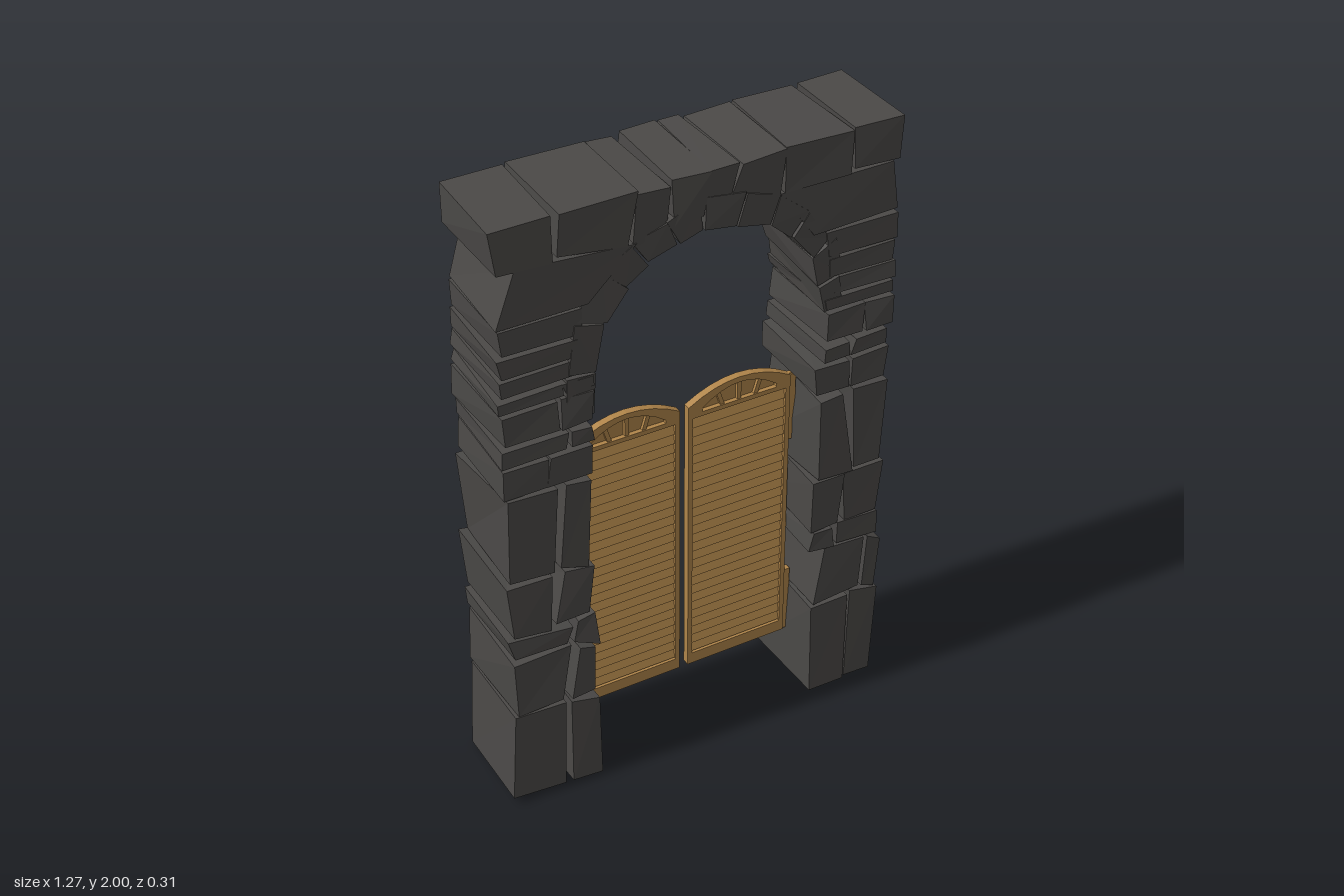
import * as THREE from 'three';

const stoneMat = new THREE.MeshStandardMaterial({ color: 0x4b4947, flatShading: true });
const woodMat = new THREE.MeshStandardMaterial({ color: 0xb0854a });
woodMat.flatShading = true;

// Small seeded generator for the chiselled irregularity of the stones
let seed = 7;
const rand = () => ((seed = (seed * 16807) % 2147483647) / 2147483647) * 2 - 1;

// Four-cornered block (corners: bottom left, bottom right, top right, top left) running through the wall
function stone(parent, name, q) {
  const geo = new THREE.BoxGeometry(2, 2, 2).toNonIndexed();
  const low = q[1] < 1.1 ? 0.009 : 0.003;
  const corners = [];
  for (let i = 0; i < 8; i++) {
    const c = i % 4;
    corners.push([
      THREE.MathUtils.clamp(q[c * 2] + rand() * 0.01, -0.635, 0.635),
      THREE.MathUtils.clamp(q[c * 2 + 1] + rand() * low, 0, 2),
      (i < 4 ? 1 : -1) * (0.152 + rand() * 0.005)
    ]);
  }
  const p = geo.attributes.position;
  for (let i = 0; i < p.count; i++) {
    const right = p.getX(i) > 0, up = p.getY(i) > 0;
    const c = up ? (right ? 2 : 3) : (right ? 1 : 0);
    p.setXYZ(i, ...corners[c + (p.getZ(i) > 0 ? 0 : 4)]);
  }
  geo.computeVertexNormals();
  const m = new THREE.Mesh(geo, stoneMat);
  m.name = name;
  parent.add(m);
}

function block(parent, name, w, h, d, x, y, z) {
  const m = new THREE.Mesh(new THREE.BoxGeometry(w, h, d), woodMat);
  m.name = name;
  m.position.set(x, y, z);
  parent.add(m);
  return m;
}

// Irregular lower blocks of each pier
const rightPierLow = [
  [-0.635, 0.02, -0.455, 0.01, -0.45, 0.33, -0.62, 0.34],
  [-0.445, 0.01, -0.34, 0.0, -0.34, 0.31, -0.43, 0.33],
  [-0.615, 0.35, -0.46, 0.35, -0.43, 0.55, -0.61, 0.54],
  [-0.44, 0.34, -0.35, 0.34, -0.35, 0.51, -0.41, 0.53],
  [-0.62, 0.56, -0.45, 0.55, -0.41, 0.61, -0.62, 0.63],
  [-0.42, 0.54, -0.345, 0.52, -0.35, 0.63, -0.4, 0.63],
  [-0.62, 0.64, -0.5, 0.62, -0.48, 0.82, -0.625, 0.83],
  [-0.48, 0.64, -0.36, 0.64, -0.35, 0.81, -0.45, 0.82],
  [-0.61, 0.84, -0.47, 0.83, -0.45, 1.12, -0.62, 1.125],
  [-0.455, 0.83, -0.36, 0.82, -0.35, 1.12, -0.43, 1.125]
];
const leftPierLow = [
  [0.4, 0.01, 0.53, 0.01, 0.52, 0.34, 0.4, 0.34],
  [0.535, 0.02, 0.625, 0.01, 0.63, 0.33, 0.53, 0.35],
  [0.4, 0.35, 0.565, 0.36, 0.57, 0.55, 0.43, 0.56],
  [0.575, 0.36, 0.63, 0.34, 0.63, 0.53, 0.58, 0.55],
  [0.385, 0.57, 0.47, 0.56, 0.46, 0.63, 0.39, 0.63],
  [0.475, 0.57, 0.63, 0.55, 0.62, 0.63, 0.47, 0.64],
  [0.39, 0.64, 0.485, 0.65, 0.49, 0.82, 0.39, 0.82],
  [0.5, 0.65, 0.62, 0.64, 0.63, 0.82, 0.495, 0.82],
  [0.395, 0.83, 0.515, 0.83, 0.48, 1.125, 0.41, 1.12],
  [0.525, 0.84, 0.615, 0.84, 0.625, 1.12, 0.5, 1.125]
];
// Flat upper courses: bottom, top, then x limits from the wall's right side to its left
const rightCourses = [
  [1.14, 1.235, -0.615, -0.49, -0.35], [1.25, 1.3, -0.62, -0.42, -0.345], [1.32, 1.415, -0.62, -0.45, -0.345],
  [1.43, 1.465, -0.62, -0.43, -0.34], [1.48, 1.53, -0.615, -0.36], [1.54, 1.6, -0.62, -0.39],
  [1.61, 1.69, -0.615, -0.37]
];
const leftCourses = [
  [1.14, 1.235, 0.385, 0.5, 0.625], [1.25, 1.3, 0.405, 0.5, 0.62], [1.32, 1.415, 0.41, 0.535, 0.63],
  [1.43, 1.465, 0.4, 0.63], [1.48, 1.53, 0.43, 0.63], [1.54, 1.6, 0.42, 0.62], [1.61, 1.69, 0.4, 0.63]
];
// Shoulders above the piers and the flat top course
const shoulders = [
  [-0.615, 1.7, -0.36, 1.7, -0.21, 1.84, -0.56, 1.87],
  [0.36, 1.7, 0.63, 1.7, 0.61, 1.855, 0.24, 1.86]
];
const topCourse = [
  [-0.62, 1.87, -0.445, 1.86, -0.45, 2, -0.625, 2],
  [-0.435, 1.87, -0.22, 1.84, -0.2, 2, -0.43, 2],
  [-0.205, 1.83, -0.11, 1.84, -0.1, 1.985, -0.19, 1.99],
  [-0.095, 1.86, 0.005, 1.86, 0.02, 2, -0.09, 2],
  [0.015, 1.88, 0.08, 1.87, 0.105, 2, 0.03, 2],
  [0.09, 1.88, 0.24, 1.85, 0.26, 2, 0.115, 1.99],
  [0.25, 1.86, 0.46, 1.86, 0.47, 1.99, 0.265, 2],
  [0.475, 1.87, 0.63, 1.86, 0.635, 2, 0.475, 2]
];
// Arch joints: inner x, y, outer x, y
const archJoints = [
  [-0.345, 1.33, -0.42, 1.35], [-0.33, 1.47, -0.42, 1.48], [-0.3, 1.62, -0.4, 1.65], [-0.235, 1.715, -0.31, 1.78],
  [-0.16, 1.77, -0.22, 1.84], [-0.07, 1.8, -0.11, 1.88], [0.01, 1.82, 0.0, 1.92], [0.11, 1.805, 0.13, 1.9],
  [0.21, 1.77, 0.24, 1.86], [0.295, 1.71, 0.34, 1.78], [0.35, 1.62, 0.42, 1.67], [0.385, 1.52, 0.45, 1.54],
  [0.41, 1.42, 0.46, 1.44]
];

function buildCourses(parent, name, courses) {
  for (const [y0, y1, ...xs] of courses)
    for (let i = 0; i < xs.length - 1; i++) {
      const a = xs[i] + (i ? 0.005 : 0), b = xs[i + 1];
      stone(parent, name, [a, y0, b, y0, b, y1, a, y1]);
    }
}

// Rectangle with an arched top
function archedShape(target, halfW, y0, ySide, yPeak) {
  target.moveTo(-halfW, y0);
  target.lineTo(halfW, y0);
  target.lineTo(halfW, ySide);
  target.quadraticCurveTo(0, 2 * yPeak - ySide, -halfW, ySide);
  target.closePath();
  return target;
}

function extrude(parent, name, shape, depth, z) {
  const m = new THREE.Mesh(new THREE.ExtrudeGeometry(shape, { depth, bevelEnabled: false, curveSegments: 8 }), woodMat);
  m.name = name;
  m.position.z = z;
  parent.add(m);
}

// Swing door centred on its own x = 0; side is the direction of its hinges
function buildDoor(side) {
  const door = new THREE.Group();
  const outline = () => archedShape(new THREE.Shape(), 0.172, 0.165, 1.137, 1.19);
  extrude(door, 'doorBack', outline(), 0.01, -0.01);
  const frame = outline();
  const panel = new THREE.Path();
  panel.moveTo(-0.157, 0.205).lineTo(0.157, 0.205).lineTo(0.157, 1.095).lineTo(-0.157, 1.095).closePath();
  frame.holes.push(panel, archedShape(new THREE.Path(), 0.125, 1.11, 1.122, 1.172));
  extrude(door, 'doorFrame', frame, 0.014, 0);
  // Louvre slats
  for (let i = 0; i < 27; i++) {
    const slat = block(door, 'slat', 0.312, 0.03, 0.005, 0, 0.225 + i * 0.0326, 0.005);
    slat.rotation.x = -0.25;
  }
  // Fan bars in the arched window
  for (const k of [-1, 0, 1]) {
    const bar = block(door, 'fanBar', 0.013, 0.062, 0.01, k * 0.064, 1.139 - Math.abs(k) * 0.004, 0.005);
    bar.rotation.z = -k * 0.3;
  }
  // Hinge plates and pins reaching into the stone
  block(door, 'lowerHingePlate', 0.03, 0.235, 0.02, side * 0.178, 0.283, 0);
  block(door, 'upperHingePlate', 0.03, 0.235, 0.02, side * 0.178, 1.018, 0);
  block(door, 'lowerPin', 0.08, 0.012, 0.012, side * 0.21, 0.33, 0);
  block(door, 'upperPin', 0.1, 0.012, 0.012, side * 0.217, 1.132, 0);
  return door;
}

export function createModel() {
  const model = new THREE.Group();
  model.name = 'stoneArchway';
  const group = (name) => {
    const g = new THREE.Group();
    g.name = name;
    model.add(g);
    return g;
  };

  const right = group('rightPier');
  rightPierLow.forEach((q) => stone(right, 'pierStone', q));
  buildCourses(right, 'pierCourse', rightCourses);
  const left = group('leftPier');
  leftPierLow.forEach((q) => stone(left, 'pierStone', q));
  buildCourses(left, 'pierCourse', leftCourses);

  const top = group('topWall');
  shoulders.forEach((q) => stone(top, 'shoulderStone', q));
  topCourse.forEach((q) => stone(top, 'topStone', q));

  const arch = group('arch');
  for (let i = 0; i < archJoints.length - 1; i++) {
    const a = archJoints[i], b = archJoints[i + 1];
    const mix = (k, t) => a[k] + (b[k] - a[k]) * t;
    // Narrow joint left open between neighbours
    stone(arch, 'archStone', [
      mix(0, 0.04), mix(1, 0.04), mix(0, 0.96), mix(1, 0.96),
      mix(2, 0.96), mix(3, 0.96), mix(2, 0.04), mix(3, 0.04)
    ]);
  }

  for (const side of [-1, 1]) {
    const door = buildDoor(side);
    door.name = side < 0 ? 'rightDoor' : 'leftDoor';
    door.position.x = 0.024 + side * 0.186;
    model.add(door);
  }
  return model;
}
